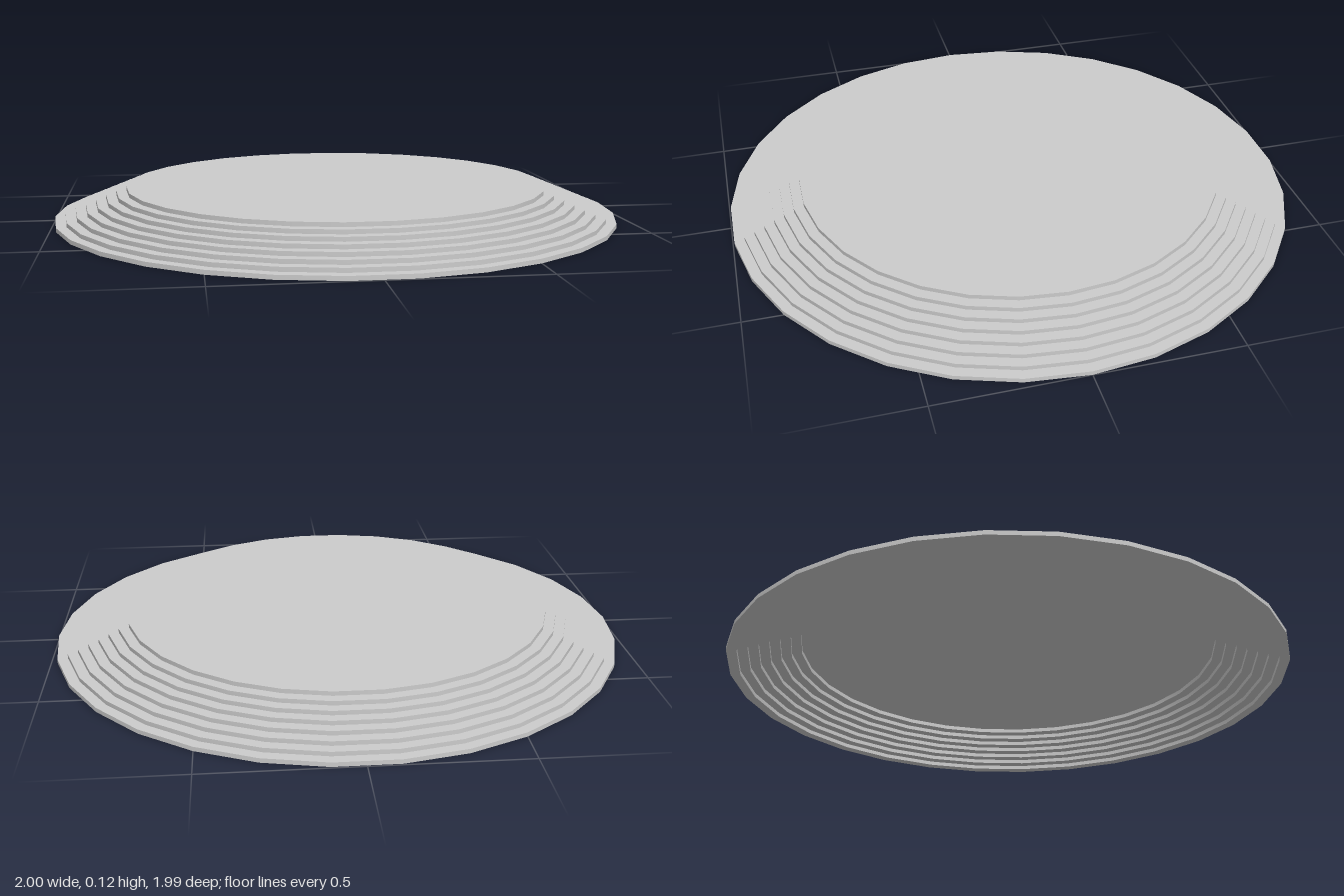
import * as THREE from 'three';
import { toCreasedNormals } from 'three/addons/utils/BufferGeometryUtils.js';

const SIDES = 30;
const STEPS = 8;
const HEIGHT = 0.117;
const OUTER_RADIUS = 1;
const TOP_RADIUS = 0.75;

const rise = HEIGHT / STEPS;
const run = (OUTER_RADIUS - TOP_RADIUS) / (STEPS - 1);

// Closed rectangular ring, smooth around its walls and sharp at its rims
function ringGeometry(inner, outer, y0, y1) {
  const profile = [[inner, y0], [outer, y0], [outer, y1], [inner, y1], [inner, y0]]
    .map(([r, y]) => new THREE.Vector2(r, y));
  // Starting at a quarter turn puts corners on the x axis
  const lathe = new THREE.LatheGeometry(profile, SIDES, Math.PI / 2);
  return toCreasedNormals(lathe, Math.PI / 6);
}

export function createModel() {
  const group = new THREE.Group();
  group.name = 'steppedDisc';
  const material = new THREE.MeshStandardMaterial({ color: 0xcccccc });

  // Rings climbing inwards, leaving the underside hollow and stepped
  for (let i = 0; i < STEPS - 1; i++) {
    const outer = OUTER_RADIUS - i * run;
    const ring = new THREE.Mesh(ringGeometry(outer - run, outer, i * rise, (i + 1) * rise), material);
    ring.name = `stepRing${i + 1}`;
    group.add(ring);
  }

  // Solid plate closing the top
  const plate = new THREE.Mesh(
    new THREE.CylinderGeometry(TOP_RADIUS, TOP_RADIUS, rise, SIDES, 1, false, Math.PI / 2),
    material
  );
  plate.name = 'topPlate';
  plate.position.y = HEIGHT - rise / 2;
  group.add(plate);

  return group;
}
